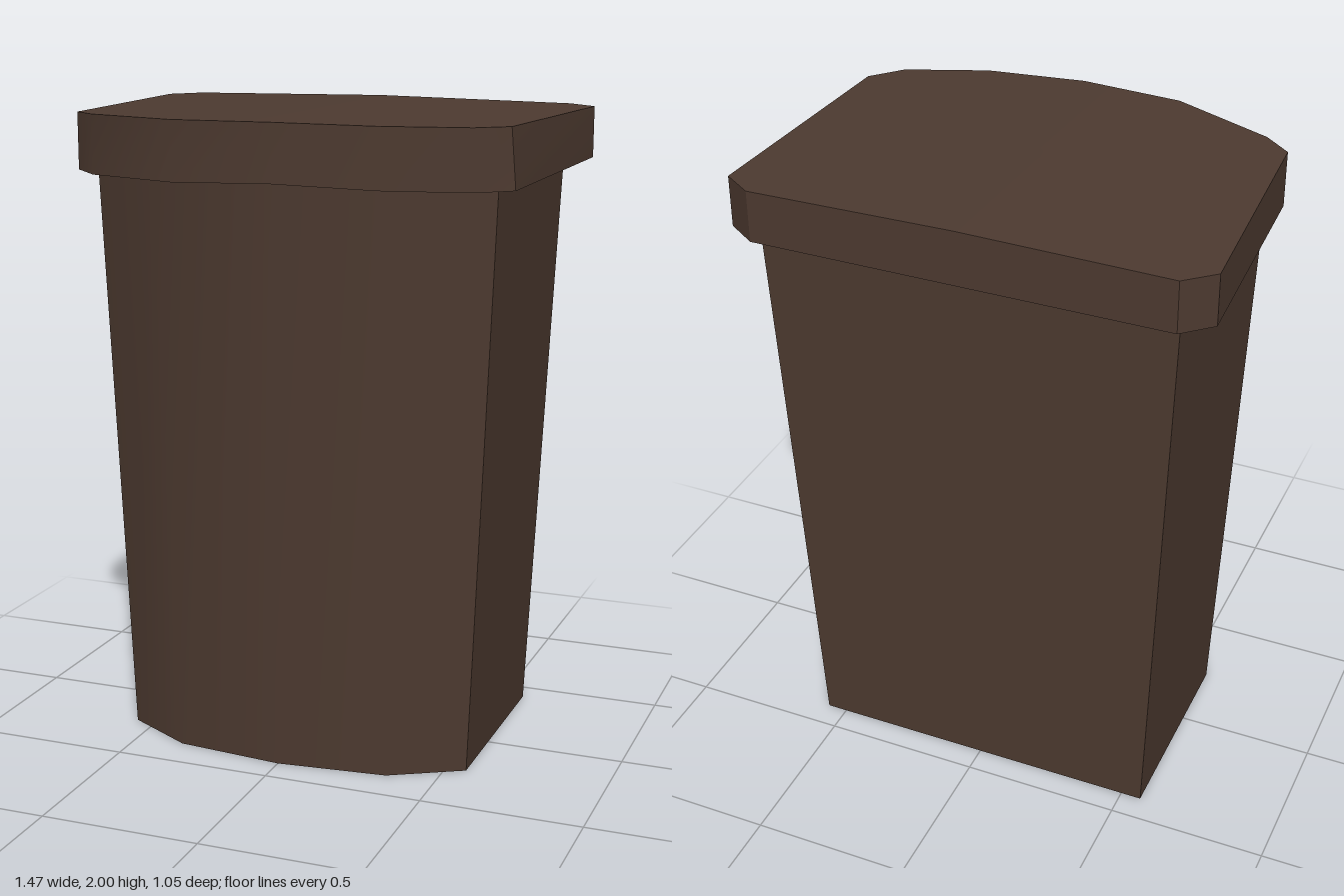
import * as THREE from 'three';
import { toCreasedNormals } from 'three/addons/utils/BufferGeometryUtils.js';

const material = new THREE.MeshStandardMaterial({ color: 0x4d3a30 });

// Closed solid between two matching rings of [x, y, z] points,
// ordered from +x by way of the back to -x and the front
function loft(name, lower, upper, lowerCentre, upperCentre) {
  const n = lower.length;
  const position = [];
  const triangle = (a, b, c) => position.push(...a, ...b, ...c);
  for (let i = 0; i < n; i++) {
    const j = (i + 1) % n;
    triangle(lower[i], lower[j], upper[j]);
    triangle(lower[i], upper[j], upper[i]);
    triangle(upperCentre, upper[i], upper[j]);
    triangle(lowerCentre, lower[j], lower[i]);
  }
  const geometry = new THREE.BufferGeometry();
  geometry.setAttribute('position', new THREE.Float32BufferAttribute(position, 3));
  const mesh = new THREE.Mesh(toCreasedNormals(geometry, 0.5), material);
  mesh.name = name;
  return mesh;
}

// Flat back and sides with a bowed front
function bodyRing(y, halfWidth, back, corner, bow, front) {
  return [
    [halfWidth, y, corner], [halfWidth, y, back],
    [-halfWidth, y, back], [-halfWidth, y, corner],
    [-halfWidth * 0.61, y, bow], [0, y, front], [halfWidth * 0.61, y, bow],
  ];
}

export function createModel() {
  const group = new THREE.Group();
  group.name = 'bin';

  // Tapered body, running a little way up into the lid
  group.add(loft('body',
    bodyRing(0, 0.565, -0.415, 0.24, 0.365, 0.4),
    bodyRing(1.84, 0.64, -0.47, 0.27, 0.415, 0.457),
    [0, 0, 0], [0, 1.84, 0]));

  // Lid outline: x, z, height of the lower rim
  const outline = [
    [0.7, 0.31, 1.81], [0.735, -0.465, 1.83], [0.64, -0.53, 1.83],
    [0, -0.53, 1.83], [-0.65, -0.53, 1.83], [-0.735, -0.45, 1.83],
    [-0.685, 0.31, 1.815], [-0.6, 0.38, 1.81], [-0.28, 0.51, 1.815],
    [0.04, 0.525, 1.825], [0.35, 0.49, 1.815], [0.6, 0.4, 1.81],
  ];
  const rim = outline.map(([x, z, y]) => [x, y, z]);
  // The top is slightly crowned along the middle
  const crown = outline.map(([x, z]) => [x, 2 - 0.014 * Math.abs(x), z]);
  crown[0][0] = 0.685;
  group.add(loft('lid', rim, crown, [0, 1.825, 0], [0, 2, 0]));

  return group;
}
